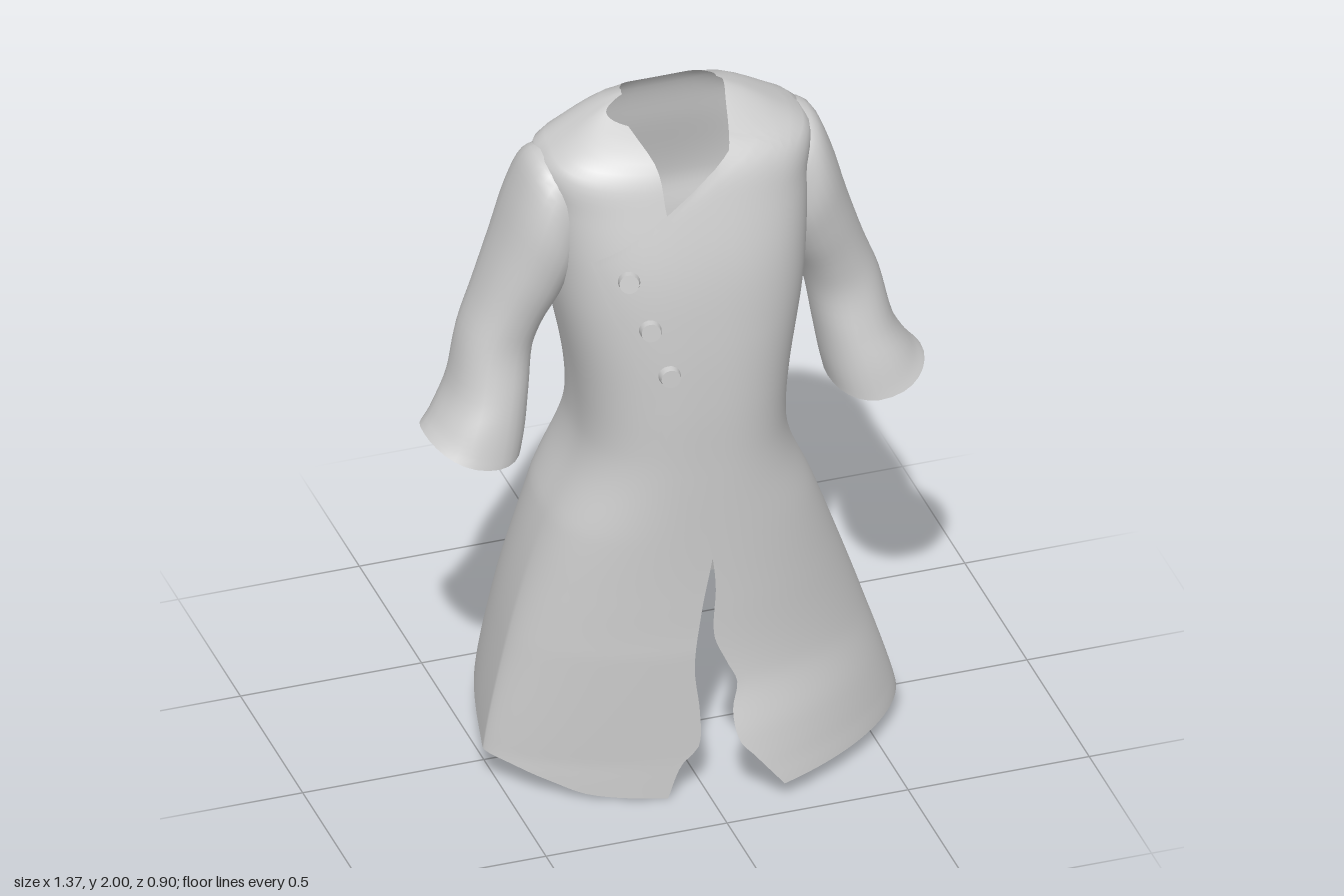
import * as THREE from 'three';
import { mergeVertices } from 'three/addons/utils/BufferGeometryUtils.js';

const material = new THREE.MeshStandardMaterial({ color: 0xcccccc, side: THREE.DoubleSide });
const { lerp, clamp, smoothstep } = THREE.MathUtils;

// Smooth lookup through [key, value] pairs with rising keys
function table(pts) {
  const slope = (i) => {
    const a = pts[Math.max(i - 1, 0)], b = pts[Math.min(i + 1, pts.length - 1)];
    return (b[1] - a[1]) / (b[0] - a[0]);
  };
  return (k) => {
    if (k <= pts[0][0]) return pts[0][1];
    for (let i = 0; i < pts.length - 1; i++) {
      const [k0, a] = pts[i], [k1, b] = pts[i + 1];
      if (k > k1) continue;
      const h = k1 - k0, t = (k - k0) / h, t2 = t * t, t3 = t2 * t;
      return a * (2 * t3 - 3 * t2 + 1) + b * (3 * t2 - 2 * t3)
        + h * (slope(i) * (t3 - 2 * t2 + t) + slope(i + 1) * (t3 - t2));
    }
    return pts[pts.length - 1][1];
  };
}

// Sheet of nu by nv quads from a function f(u, v) -> Vector3
function sheet(f, nu, nv) {
  const pos = [], idx = [], cols = nu + 1;
  for (let j = 0; j <= nv; j++)
    for (let i = 0; i <= nu; i++) pos.push(...f(i / nu, j / nv).toArray());
  for (let j = 0; j < nv; j++)
    for (let i = 0; i < nu; i++) {
      const a = j * cols + i, b = a + 1, c = a + cols, d = c + 1;
      idx.push(a, c, b, b, c, d);
    }
  const g = new THREE.BufferGeometry();
  g.setAttribute('position', new THREE.Float32BufferAttribute(pos, 3));
  g.setIndex(idx);
  const merged = mergeVertices(g, 1e-5);
  merged.computeVertexNormals();
  return merged;
}

// Body measures by height
const halfWidth = table([[0, .61], [.1, .6], [.4, .505], [.6, .435], [.8, .36], [.95, .295], [1.05, .275],
  [1.2, .285], [1.45, .33], [1.6, .345], [1.75, .355], [1.87, .365], [1.92, .29], [1.97, .2], [2, .13]]);
const frontZ = table([[0, .48], [.05, .475], [.2, .43], [.36, .375], [.6, .36], [1, .362], [1.2, .365], [1.4, .358],
  [1.6, .335], [1.8, .278], [1.87, .245], [1.92, .19], [1.97, .1], [2, .06]]);
const backZ = table([[.1, -.49], [.16, -.475], [.4, -.39], [.6, -.32], [.8, -.27], [.9, -.25], [1.1, -.18], [1.3, -.125],
  [1.5, -.145], [1.6, -.16], [1.8, -.12], [1.92, -.095], [1.97, -.065], [2, -.01]]);
const midZ = table([[0, .09], [.6, .08], [1, .1], [1.4, .07], [1.8, .045], [2, .035]]);
// Roundness of the front and back halves; smaller is boxier
const frontPower = table([[.1, 1.3], [.5, 1], [.8, .85], [1.4, .78], [1.8, .75], [2, .8]]);
const backPower = table([[.1, .5], [.5, .6], [.8, .7], [1.4, .65], [1.8, .6], [2, .7]]);

// Front edges of the under and over panels, x by height
const underEdge = table([[0, -.12], [.1, -.08], [.15, -.03], [.25, -.025], [.4, -.04], [.55, -.02], [.8, .02],
  [1.2, -.02], [1.77, -.09], [1.88, -.1], [1.95, -.14]]);
const overEdge = table([[.05, .18], [.15, .1], [.2, .06], [.28, .05], [.35, .07], [.41, .045], [.5, .01], [.65, .015],
  [.77, 0], [.87, -.03], [1, -.08], [1.15, -.13], [1.22, -.16], [1.37, -.2], [1.5, -.25], [1.64, -.29]]);

const spow = (s, p) => Math.sign(s) * Math.abs(s) ** p;
const low = (y) => clamp(1 - (y - .1) / .7, 0, 1);
const edgeAngle = (x, w, p) => -Math.sign(x) * Math.asin(Math.min(Math.abs(x) / w, 1) ** (1 / p));

// u runs from the under edge past the right side, back and left side to the over edge
function bodyPoint(u, y) {
  const w = halfWidth(y), q = Math.PI / 2, fp = frontPower(y);
  let a = u * 4 * q;
  if (u < .25) a = lerp(edgeAngle(underEdge(y), w, fp), q, u * 4);
  if (u > .75) a = lerp(3 * q, 4 * q + edgeAngle(overEdge(y), w, fp), u * 4 - 3);
  const s = Math.sin(a), c = Math.cos(a), p = c > 0 ? fp : backPower(y);
  let x = -w * spow(s, p) * (s > 0 ? 1 - .11 * low(y) : 1);
  let f = frontZ(y);
  if (u < .5) f = Math.min(f, .365);
  const m = midZ(y);
  let z = m + (c > 0 ? f - m : m - backZ(y)) * spow(c, p);
  if (c < 0) {
    // skirt narrows behind, with a fold in the middle of the back
    x *= 1 - .25 * low(y) * Math.sqrt(-c);
    z += .1 * low(y) * Math.exp(-((x / .14) ** 2));
  } else {
    // keep the over panel in front of the under panel
    z += c * (u > .5 ? .006 : -.014);
  }
  return new THREE.Vector3(x, y, z);
}

const hem = table([[0, 0], [.08, .015], [.125, .05], [.18, .085], [.25, .1], [.37, .14], [.5, .155], [.63, .15],
  [.75, .08], [.85, .058], [1, .05]]);
const rightNeck = table([[0, 1.95], [.12, 1.97], [.25, 2], [.38, 1.99], [.5, 1.965], [.62, 1.99], [.75, 2]]);

// Neckline: level behind, then a diagonal across the chest
function neckline(u) {
  if (u < .75) return rightNeck(u);
  let lo = 1.6, hi = 2;
  for (let i = 0; i < 30; i++) {
    const y = (lo + hi) / 2, x = bodyPoint(u, y).x;
    const line = 1.64 + .652 * (x + .29) + Math.max(0, x - .1) * 1.5;
    if (y < line) lo = y; else hi = y;
  }
  return lo;
}

// Sleeve rings: inner x, inner y, outer x, outer y, back z, front z
const RINGS = [
  [.2, 1.68, .325, 1.885, -.07, .15], [.26, 1.6, .39, 1.862, -.1, .18], [.29, 1.53, .435, 1.76, -.12, .19],
  [.32, 1.46, .48, 1.61, -.12, .172],
  [.36, 1.38, .53, 1.46, -.11, .147], [.385, 1.3, .575, 1.34, -.1, .14], [.4, 1.2, .607, 1.2, -.095, .165],
  [.415, 1.1, .65, 1.12, -.09, .19], [.43, 1.03, .685, 1.08, -.09, .205]];
const ringTables = RINGS[0].map((_, k) => table(RINGS.map((r, i) => [i / (RINGS.length - 1), r[k]])));

function sleeve(side) {
  return sheet((u, v) => {
    const [xi, yi, xo, yo, zb, zf] = ringTables.map((t) => t(v));
    const a = u * Math.PI * 2, c = spow(Math.cos(a), .9), s = spow(Math.sin(a), .9) * -side;
    const sag = .03 * s * s * smoothstep(v, .8, 1);
    return new THREE.Vector3(
      side * ((xi + xo) / 2 + (xo - xi) / 2 * c),
      (yi + yo) / 2 + (yo - yi) / 2 * c - sag,
      (zb + zf) / 2 + (zf - zb) / 2 * s);
  }, 28, 32);
}

export function createModel() {
  const model = new THREE.Group();
  model.name = 'coat';
  const add = (name, geometry) => {
    const mesh = new THREE.Mesh(geometry, material);
    mesh.name = name;
    model.add(mesh);
    return mesh;
  };

  // Wrapped body with skirt
  add('coatBody', sheet((u, v) => bodyPoint(u, lerp(hem(u), neckline(u), v)), 96, 90));

  // Sleeves
  add('leftSleeve', sleeve(1));
  add('rightSleeve', sleeve(-1));

  // Buttons laid on the over panel
  const disc = new THREE.CylinderGeometry(.026, .03, .024, 16);
  for (const [x, y] of [[-.205, 1.6], [-.157, 1.46], [-.11, 1.32]]) {
    let lo = .75, hi = 1;
    for (let i = 0; i < 30; i++) {
      const u = (lo + hi) / 2;
      if (bodyPoint(u, y).x > x) lo = u; else hi = u;
    }
    const p = bodyPoint(lo, y);
    const across = bodyPoint(lo - .02, y).sub(p), up = bodyPoint(lo, y + .02).sub(p);
    const normal = across.cross(up).normalize();
    const button = add('button', disc);
    button.position.copy(p).addScaledVector(normal, .008);
    button.quaternion.setFromUnitVectors(new THREE.Vector3(0, 1, 0), normal);
  }
  return model;
}
